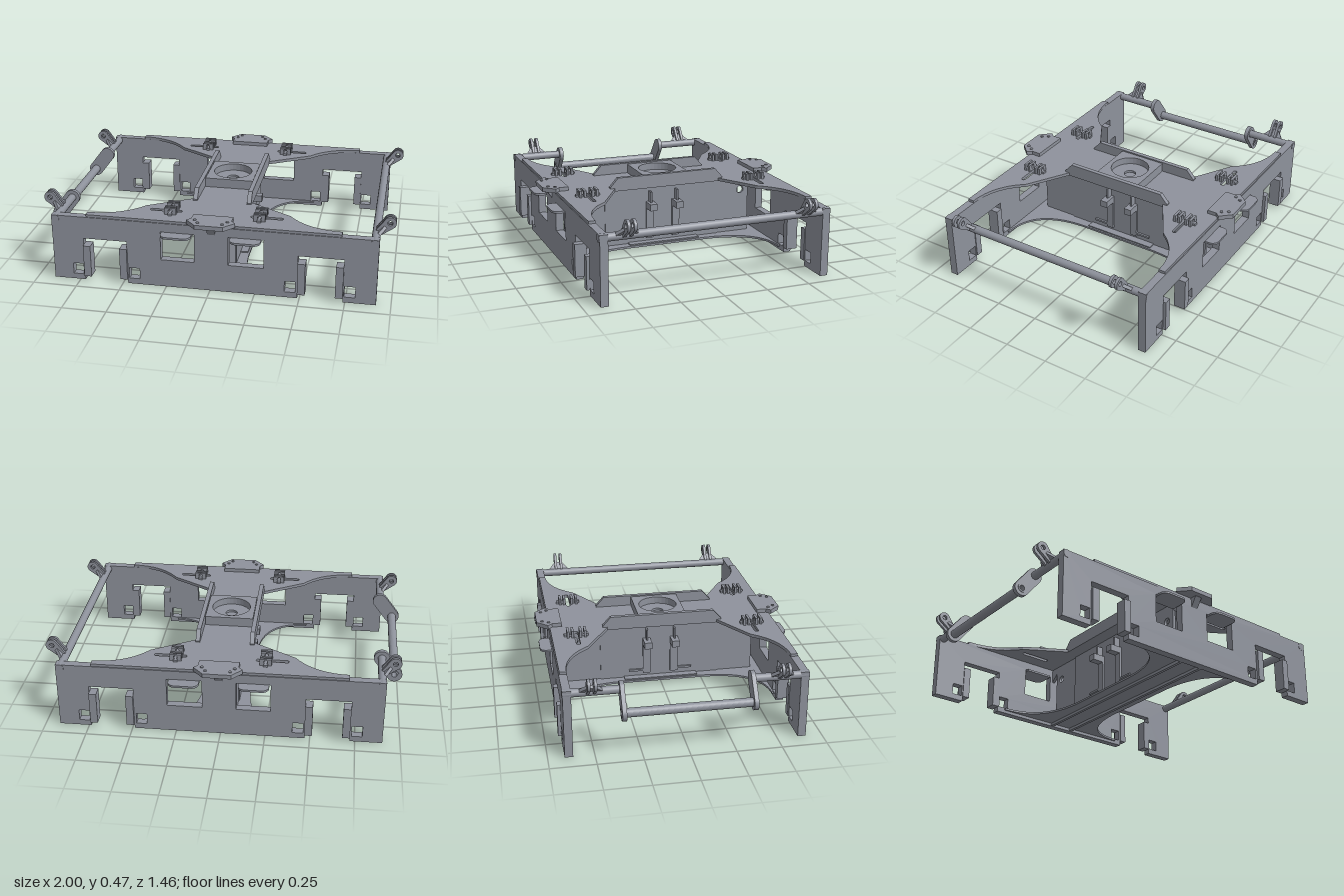
import * as THREE from 'three';

const MID = 0.009; // the frame's centre line in x
const mat = new THREE.MeshStandardMaterial({ color: 0x8e929c });

const poly = (pts) => new THREE.Shape(pts.map(([x, y]) => new THREE.Vector2(x, y)));
const rect = (x0, x1, y0, y1) => poly([[x0, y0], [x1, y0], [x1, y1], [x0, y1]]);
const circle = (x, y, r) => new THREE.Path().absarc(x, y, r, 0, Math.PI * 2, true);

function slab(shape, depth) {
  return new THREE.ExtrudeGeometry(shape, { depth, bevelEnabled: false, curveSegments: 16 });
}
// Shape drawn in x/z, filling y0..y1
function flat(shape, y0, y1) {
  return slab(shape, y1 - y0).rotateX(Math.PI / 2).translate(0, y1, 0);
}
// Shape drawn in x/y, filling z0..z1
function upright(shape, z0, z1) {
  return slab(shape, z1 - z0).translate(0, 0, z0);
}
// Shape drawn in -z/y, filling x0..x1
function lengthwise(shape, x0, x1) {
  return slab(shape, x1 - x0).rotateY(Math.PI / 2).translate(x0, 0, 0);
}
function box(x0, x1, y0, y1, z0, z1) {
  return new THREE.BoxGeometry(x1 - x0, y1 - y0, z1 - z0)
    .translate((x0 + x1) / 2, (y0 + y1) / 2, (z0 + z1) / 2);
}
function rod(x, y, z0, z1, r) {
  return new THREE.CylinderGeometry(r, r, z1 - z0, 20)
    .rotateX(Math.PI / 2).translate(x, y, (z0 + z1) / 2);
}
// Bar with round ends from a to b, with an eye at b
function link(a, b, ra, rb, hole) {
  const t = Math.atan2(b[1] - a[1], b[0] - a[0]);
  const s = new THREE.Shape();
  s.absarc(a[0], a[1], ra, t + Math.PI / 2, t + Math.PI * 1.5, false);
  s.absarc(b[0], b[1], rb, t - Math.PI / 2, t + Math.PI / 2, false);
  s.closePath();
  s.holes.push(circle(b[0], b[1], hole));
  return s;
}
// Hourglass plate: a curve from the side frame to a knee, then straight to the beam
function hourglass({ wide, edgeZ, curveZ, ctrlX, knee, waist }) {
  const s = new THREE.Shape();
  s.moveTo(-wide, edgeZ);
  // Right side downwards, then left side upwards
  for (const d of [1, -1]) {
    s.lineTo(d * wide, d * edgeZ);
    s.lineTo(d * wide, d * curveZ);
    s.quadraticCurveTo(d * ctrlX, d * curveZ, d * knee[0], d * knee[1]);
    s.lineTo(d * waist[0], d * waist[1]);
    s.lineTo(d * waist[0], -d * waist[1]);
    s.lineTo(d * knee[0], -d * knee[1]);
    s.quadraticCurveTo(d * ctrlX, -d * curveZ, d * wide, -d * curveZ);
    s.lineTo(d * wide, -d * edgeZ);
  }
  return s;
}

export function createModel() {
  const model = new THREE.Group();
  const add = (name, geometry) => {
    const mesh = new THREE.Mesh(geometry, mat);
    mesh.name = name;
    model.add(mesh);
    return mesh;
  };

  // Side frame outline with axle notches, windows and square holes
  const frame = poly([[-0.902, 0], [-0.722, 0], [-0.722, 0.258], [-0.472, 0.258], [-0.472, 0],
    [0.488, 0], [0.488, 0.258], [0.738, 0.258], [0.738, 0], [0.919, 0], [0.919, 0.388], [-0.902, 0.388]]);
  frame.holes.push(rect(-0.278, -0.088, 0.165, 0.335), rect(0.102, 0.299, 0.165, 0.335));
  for (const x of [-0.79, -0.462, 0.416, 0.744]) frame.holes.push(rect(x, x + 0.06, 0.033, 0.098));

  // End pad outline beyond the side frame
  const pad = poly([[-0.105, 0.585], [0.119, 0.585], [0.119, 0.64], [0.142, 0.665],
    [0.085, 0.728], [-0.07, 0.728], [-0.128, 0.665], [-0.105, 0.64]]);

  for (const s of [-1, 1]) {
    const between = (a, b) => (s > 0 ? [a, b] : [-b, -a]);
    add('sideFrame', upright(frame, ...between(0.615, 0.66)));

    // Axle guides lining the notches
    for (const x of [-0.722, -0.512, 0.488, 0.696])
      add('axleGuide', box(x, x + 0.042, 0.03, 0.218, ...between(0.61, 0.677)));

    // End pad, its bolts and the wedge below
    const padMesh = add('endPad', flat(pad, 0.4, 0.425));
    if (s < 0) {
      padMesh.rotation.y = Math.PI;
      padMesh.position.x = 2 * MID;
    }
    for (const [dx, bz] of [[0.09, 0.66], [0.068, 0.695]])
      for (const sx of [-1, 1])
        add('bolt', new THREE.CylinderGeometry(0.009, 0.009, 0.01, 12).translate(MID + sx * dx, 0.425, s * bz));
    const wedge = poly([[-s * 0.655, 0.335], [-s * 0.655, 0.405], [-s * 0.7, 0.405]]);
    add('padWedge', lengthwise(wedge, MID - 0.022, MID + 0.022));

    // Rounded spring shelves sticking out of the windows
    for (const x of [-0.27, 0.115]) {
      const shelf = new THREE.Shape();
      shelf.moveTo(x, 0.6);
      shelf.lineTo(x + 0.17, 0.6);
      shelf.lineTo(x + 0.17, 0.685);
      shelf.absarc(x + 0.13, 0.685, 0.04, 0, Math.PI / 2, false);
      shelf.absarc(x + 0.04, 0.685, 0.04, Math.PI / 2, Math.PI, false);
      shelf.closePath();
      const g = flat(shelf, 0.324, 0.336);
      if (s < 0) g.rotateY(Math.PI).translate(2 * x + 0.17, 0, 0);
      add('springShelf', g);
    }
  }

  // Top plate with long slots
  const top = hourglass({ wide: 0.71, edgeZ: 0.655, curveZ: 0.617, ctrlX: 0.52, knee: [0.41, 0.468], waist: [0.165, 0.322] });
  for (const sx of [-1, 1]) for (const sz of [-1, 1]) {
    const slot = new THREE.Path();
    slot.absarc(sx * 0.285 + 0.08, sz * 0.515, 0.012, -Math.PI / 2, Math.PI / 2, false);
    slot.absarc(sx * 0.285 - 0.08, sz * 0.515, 0.012, Math.PI / 2, Math.PI * 1.5, false);
    slot.closePath();
    top.holes.push(slot);
  }
  add('topPlate', flat(top, 0.385, 0.403).translate(MID, 0, 0));

  // Bottom plate with round cut-outs, ribs underneath and a doubler
  const bottom = hourglass({ wide: 0.43, edgeZ: 0.63, curveZ: 0.605, ctrlX: 0.15, knee: [0.14, 0.25], waist: [0.14, 0.22] });
  add('bottomPlate', flat(bottom, 0.018, 0.03).translate(MID, 0, 0));
  add('bottomDoubler', box(MID - 0.13, MID + 0.13, 0.025, 0.037, -0.22, 0.22));
  for (const s of [-1, 1])
    add('bottomRib', box(MID + s * 0.071 - 0.009, MID + s * 0.071 + 0.009, 0.001, 0.022, -0.63, 0.63));

  // Beam webs with round holes, raised rims and brackets
  const web = rect(-0.565, 0.565, 0.025, 0.39);
  web.holes.push(circle(0.513, 0.29, 0.022), circle(-0.513, 0.29, 0.022));
  const rim = poly([[-0.352, 0.385], [0.352, 0.385], [0.352, 0.41], [0.305, 0.463], [-0.305, 0.463], [-0.352, 0.41]]);
  for (const s of [-1, 1]) {
    const span = (a, b) => (s > 0 ? [MID + a, MID + b] : [MID - b, MID - a]);
    add('beamWeb', lengthwise(web, ...span(0.062, 0.08)));
    add('webDoubler', box(...span(0.07, 0.086), 0.03, 0.386, -0.36, 0.36));
    add('beamRim', lengthwise(rim, ...span(0.143, 0.168)));
    for (const z of [-1, 1]) {
      const zs = (a, b) => (z > 0 ? [a, b] : [-b, -a]);
      add('bracketPost', box(...span(0.07, 0.098), 0.055, 0.28, ...zs(0.06, 0.105)));
      add('bracketArm', box(...span(0.09, 0.165), 0.24, 0.28, ...zs(0.06, 0.105)));
      add('bracketRib', box(...span(0.07, 0.125), 0.28, 0.345, ...zs(0.078, 0.088)));
      add('bracketFoot', box(...span(0.07, 0.098), 0.068, 0.08, ...zs(0.1, 0.19)));
      // Small corner gusset between the web's top and the side frame
      const corner = poly([[-z * 0.617, 0.3], [-z * 0.617, 0.388], [-z * 0.56, 0.388], [-z * 0.56, 0.35]]);
      add('cornerGusset', lengthwise(corner, ...span(0.062, 0.08)));
    }
  }

  // Pivot block between the rims, with a round bore and centre hole
  const block = rect(MID - 0.14, MID + 0.14, -0.14, 0.14);
  block.holes.push(circle(MID, 0, 0.112));
  add('pivotBlock', flat(block, 0.4, 0.457));
  const floor = new THREE.Shape().absarc(MID, 0, 0.115, 0, Math.PI * 2, false);
  floor.holes.push(circle(MID, 0, 0.034));
  add('pivotFloor', flat(floor, 0.4, 0.416));

  // Hanger lugs on both sides of the slots
  for (const sx of [-1, 1]) for (const sz of [-1, 1]) {
    const cx = MID + sx * 0.25;
    const lug = rect(cx - 0.033, cx + 0.033, 0.4, 0.442);
    lug.holes.push(circle(cx, 0.425, 0.011));
    for (const z of [0.466, 0.492, 0.538, 0.564])
      add('hangerLug', upright(lug, sz * z - 0.007, sz * z + 0.007));
    for (const z of [0.474, 0.558])
      add('lugSpine', box(cx - 0.012, cx + 0.012, 0.4, 0.415, sz * z - 0.028, sz * z + 0.028));
  }

  // Straight cross rod on the left, cranked tube on the right
  add('crossRod', rod(0.895, 0.367, -0.662, 0.662, 0.023));
  for (const s of [-1, 1]) {
    add('crossRodStub', rod(-0.88, 0.367, s > 0 ? 0.345 : -0.662, s > 0 ? 0.662 : -0.345, 0.023));
    add('crankArm', upright(link([-0.88, 0.367], [-0.957, 0.266], 0.044, 0.044, 0.015), s * 0.35 - 0.012, s * 0.35 + 0.012));
  }
  const tube = new THREE.Shape().absarc(-0.957, 0.266, 0.025, 0, Math.PI * 2, false);
  tube.holes.push(circle(-0.957, 0.266, 0.015));
  add('crankTube', upright(tube, -0.365, 0.365));

  // Twin levers with eyes and splayed gussets on both rods
  for (const [ax, bx] of [[0.895, 0.965], [-0.88, -0.948]])
    for (const s of [-1, 1]) {
      const root = [ax + (bx - ax) * 0.25, 0.385];
      for (const z of [0.494, 0.529])
        add('lever', upright(link(root, [bx, 0.437], 0.022, 0.034, 0.014), s * z - 0.008, s * z + 0.008));
      const gusset = poly([[0.01, -0.07], [0.07, -0.022], [0.07, 0.022], [0.01, 0.07]]);
      const mesh = add('leverGusset', flat(gusset, -0.009, 0.009));
      mesh.position.set(ax, 0.367, s * 0.512);
      mesh.rotation.z = Math.atan2(0.07, bx - ax);
    }

  return model;
}
